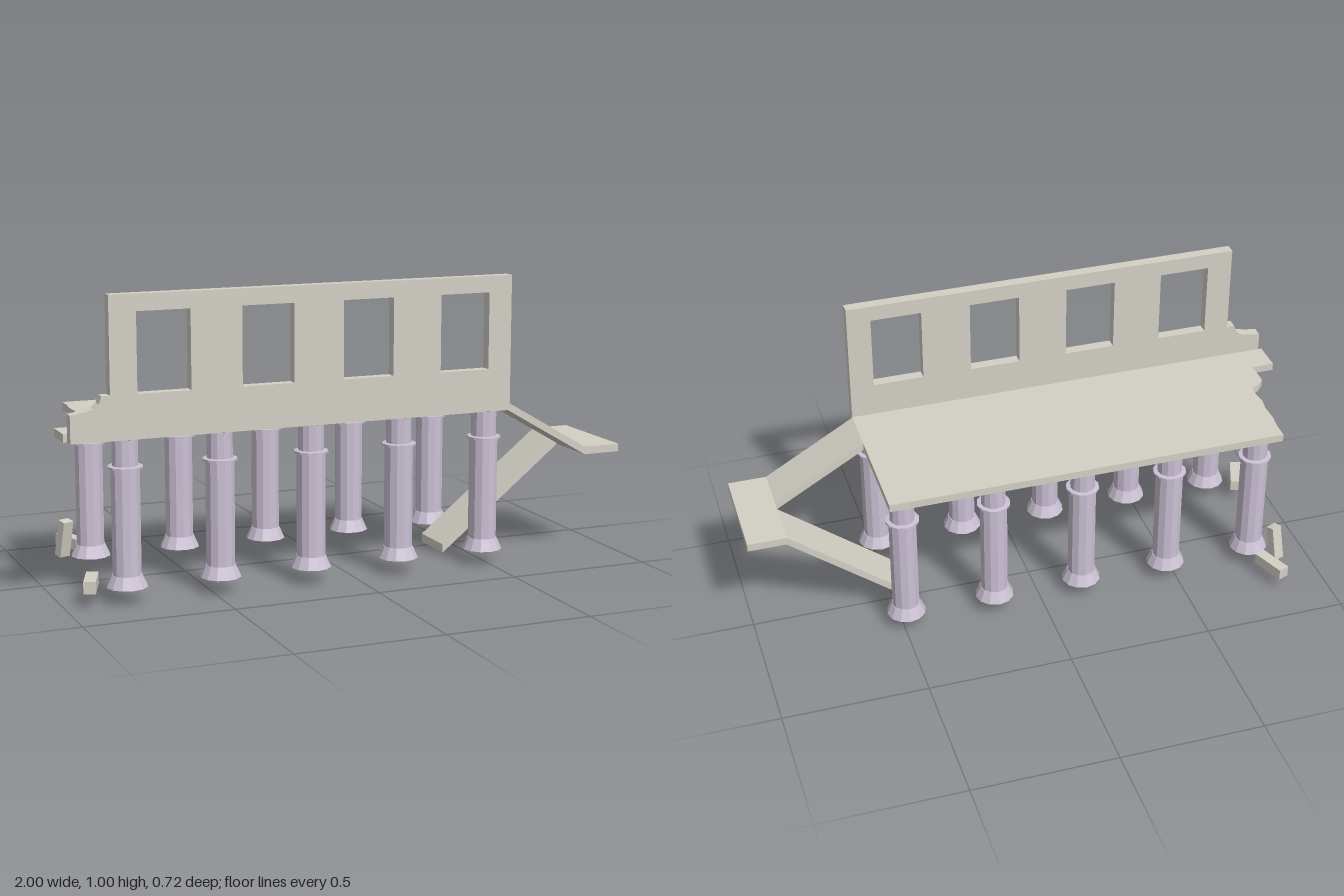
import * as THREE from 'three';

const stone = new THREE.MeshStandardMaterial({ color: 0xd3d0c5, flatShading: true });
const marble = new THREE.MeshStandardMaterial({ color: 0xcbc1d4, flatShading: true });

const toShape = (points) => new THREE.Shape(points.map(([x, y]) => new THREE.Vector2(x, y)));

// Extrude a front-facing outline from z0 to z1
function slab(name, shape, z0, z1) {
  const geo = new THREE.ExtrudeGeometry(shape, { depth: z1 - z0, bevelEnabled: false });
  geo.translate(0, 0, z0);
  const mesh = new THREE.Mesh(geo, stone);
  mesh.name = name;
  return mesh;
}

function block(name, size, position, rotation = [0, 0, 0]) {
  const mesh = new THREE.Mesh(new THREE.BoxGeometry(...size), stone);
  mesh.name = name;
  mesh.position.set(...position);
  mesh.rotation.set(...rotation, 'YXZ');
  return mesh;
}

export function createModel() {
  const model = new THREE.Group();
  model.name = 'ruinedColonnade';

  // Wall with a broken left end and four window openings
  const wall = toShape([
    [-0.987, 0.545], [0.545, 0.545], [0.545, 1.005], [-0.857, 1.005], [-0.857, 0.69],
    [-0.885, 0.69], [-0.893, 0.665], [-0.91, 0.65], [-0.94, 0.643], [-0.987, 0.636],
  ]);
  for (let i = 0; i < 4; i++) {
    const x = -0.768 + i * 0.3505;
    wall.holes.push(new THREE.Path([
      new THREE.Vector2(x, 0.69), new THREE.Vector2(x, 0.95),
      new THREE.Vector2(x + 0.178, 0.95), new THREE.Vector2(x + 0.178, 0.69),
    ]));
  }
  model.add(slab('windowWall', wall, 0.322, 0.36));

  // Floor slab with a crumbled left edge, drawn as (x, z) and laid flat
  const floorEdge = [
    [-1, 0.322], [0.545, 0.322], [0.545, -0.222], [-0.855, -0.222], [-0.855, -0.17], [-0.862, -0.11],
    [-0.86, -0.05], [-0.868, 0], [-0.862, 0.05], [-0.865, 0.083], [-0.895, 0.097],
    [-0.92, 0.125], [-0.92, 0.213], [-1, 0.213],
  ];
  const floor = slab('floor', toShape(floorEdge.map(([x, z]) => [x, -z])), 0.545, 0.572);
  floor.geometry.rotateX(-Math.PI / 2);
  model.add(floor);

  // Two rows of five columns: flared base, shaft, collar ring, neck and top lip
  const profile = [
    [0, 0.052], [0.068, 0.052], [0.05, 0.092], [0.048, 0.092], [0.048, 0.44], [0.058, 0.441],
    [0.058, 0.448], [0.043, 0.45], [0.043, 0.537], [0.048, 0.541], [0.048, 0.545], [0, 0.545],
  ].map(([r, y]) => new THREE.Vector2(r, y));
  const columnGeo = new THREE.LatheGeometry(profile, 12);
  for (const z of [0.284, -0.141]) {
    for (let i = 0; i < 5; i++) {
      const column = new THREE.Mesh(columnGeo, marble);
      column.name = 'column';
      column.position.set(-0.79 + i * 0.319, 0, z);
      model.add(column);
    }
  }

  // Two ramps meeting at a landing on the left side
  model.add(slab('upperRamp', toShape([
    [0.545, 0.545], [0.865, 0.358], [0.865, 0.385], [0.545, 0.572],
  ]), 0.153, 0.32));
  model.add(slab('lowerRamp', toShape([
    [0.417, 0], [0.868, 0.358], [0.865, 0.385], [0.417, 0.03],
  ]), -0.05, 0.12));
  model.add(block('landing', [0.135, 0.027, 0.37], [0.9325, 0.3715, 0.135]));

  // Fallen blocks around the broken end
  model.add(block('fallenBlock', [0.04, 0.04, 0.128], [-0.9, 0.065, 0.248], [0, -0.35, 0]));
  model.add(block('fallenBlock', [0.04, 0.04, 0.124], [-0.818, 0.065, -0.295], [0, 0.37, 0]));
  model.add(block('leaningBlock', [0.04, 0.128, 0.032], [-0.862, 0.1, -0.216], [0.2, 0.37, 0]));

  return model;
}
